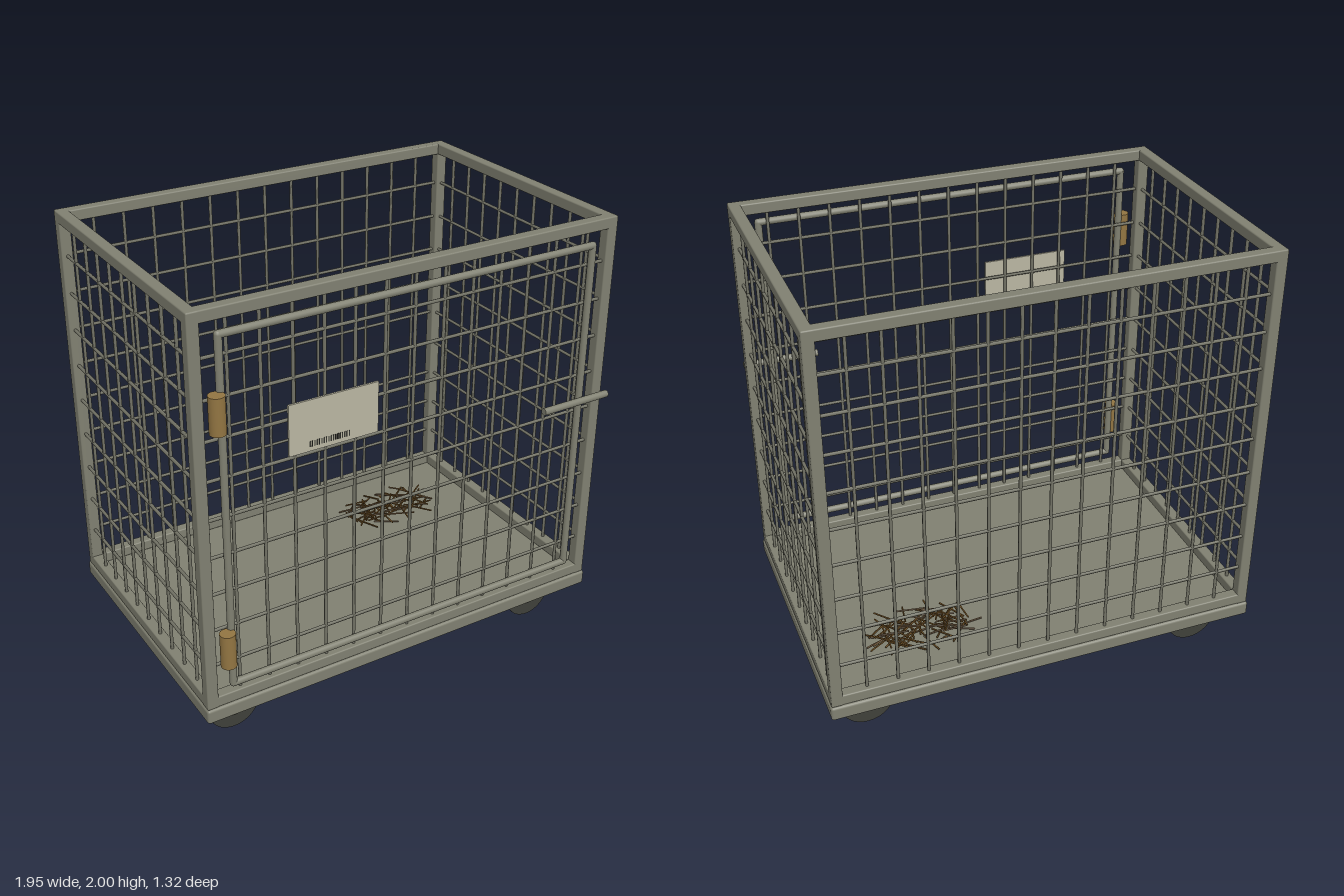
import * as THREE from 'three';
import { RoundedBoxGeometry } from 'three/addons/geometries/RoundedBoxGeometry.js';
import { mergeGeometries } from 'three/addons/utils/BufferGeometryUtils.js';

const material = (name, color) => new THREE.MeshStandardMaterial({ name, color });

export function createModel() {
  const model = new THREE.Group();
  model.name = 'wheeledCage';
  const steel = material('grey green steel', 0x808071);
  const wire = material('wire steel', 0x747467);
  const rubber = material('dark rubber', 0x3f403a);
  const brass = material('brass', 0x927542);
  const card = material('pale card', 0xb9b6a2);
  const ink = material('dark ink', 0x34342e);
  const straw = material('brown straw', 0x6b4d22);

  const add = (name, geometry, mat, parent = model) => {
    const mesh = new THREE.Mesh(geometry, mat);
    mesh.name = name;
    parent.add(mesh);
    return mesh;
  };
  const box = (w, h, d, x, y, z) => new THREE.BoxGeometry(w, h, d).translate(x, y, z);
  const rounded = (w, h, d, x, y, z, r = 0.006) =>
    new RoundedBoxGeometry(w, h, d, 2, r).translate(x, y, z);
  // Round bar between two points
  const bar = (a, b, radius, sides = 8) => {
    const from = new THREE.Vector3(...a), to = new THREE.Vector3(...b);
    const dir = to.clone().sub(from);
    const turn = new THREE.Quaternion().setFromUnitVectors(
      new THREE.Vector3(0, 1, 0), dir.clone().normalize());
    const mid = from.add(to).multiplyScalar(0.5);
    return new THREE.CylinderGeometry(radius, radius, dir.length(), sides)
      .applyQuaternion(turn).translate(mid.x, mid.y, mid.z);
  };

  // Cage layout: centre lines of the frame bars
  const cz = -0.02, hx = 0.943, hz = 0.603, low = 0.297, high = 1.975, t = 0.05;

  // Base tray
  add('base', rounded(1.946, 0.067, 1.272, 0, 0.238, cz, 0.012), steel);

  // Square frame posts and rails
  for (const sx of [-1, 1]) for (const sz of [-1, 1])
    add('cornerPost', rounded(t, 1.73, t, sx * hx, 1.135, cz + sz * hz), steel);
  for (const y of [low, high]) {
    for (const s of [-1, 1]) {
      add('longRail', rounded(2 * hx + t, t, t, 0, y, cz + s * hz), steel);
      add('sideRail', rounded(t, t, 2 * hz + t, s * hx, y, cz), steel);
    }
  }

  // Wire mesh panels
  const panel = (name, half, count, place) => {
    const wires = [];
    for (let i = 1; i < count; i++) {
      const u = -half + (2 * half * i) / count;
      wires.push(bar(place(u, low), place(u, high), 0.0072, 6));
    }
    for (let i = 1; i < 10; i++) {
      const y = low + ((high - low) * i) / 10;
      wires.push(bar(place(-half, y), place(half, y), 0.0072, 6));
    }
    add(name, mergeGeometries(wires), wire);
  };
  for (const s of [-1, 1]) {
    panel(s > 0 ? 'frontMesh' : 'backMesh', hx, 14, (u, y) => [u, y, cz + s * hz]);
    panel(s > 0 ? 'leftMesh' : 'rightMesh', hz, 10, (u, y) => [s * hx, y, cz + u]);
  }

  // Door frame of round tube
  const door = new THREE.Group();
  door.name = 'door';
  model.add(door);
  const dz = 0.605, r = 0.016, dl = -0.849, dr = 0.845, db = 0.366, dt = 1.895;
  for (const x of [dl, dr]) add('doorUpright', bar([x, db, dz], [x, dt, dz], r, 14), steel, door);
  for (const y of [db, dt]) {
    add('doorRail', bar([dl, y, dz], [dr, y, dz], r, 14), steel, door);
    for (const x of [dl, dr])
      add('doorCorner', new THREE.SphereGeometry(r, 12, 8).translate(x, y, dz), steel, door);
  }

  // Hinges and latch
  for (const y of [0.558, 1.598])
    add('hinge', new THREE.CylinderGeometry(0.033, 0.033, 0.155, 20).translate(-0.877, y, 0.63), brass);
  add('latchBar', bar([0.625, 1.21, 0.644], [0.965, 1.21, 0.644], 0.016, 14), steel);

  // Card tag with a strip of small marks
  add('tag', box(0.397, 0.218, 0.009, -0.378, 1.435, 0.605), card);
  const marks = [];
  for (let i = 0; i < 18; i++)
    marks.push(box(i % 3 ? 0.004 : 0.007, 0.024, 0.002, -0.485 + i * 0.0102, 1.357, 0.61));
  add('tagMarks', mergeGeometries(marks), ink);

  // Casters, all facing the same way
  for (const x of [-0.78, 0.78]) for (const z of [0.43, -0.47]) {
    const caster = new THREE.Group();
    caster.name = 'caster';
    caster.position.set(x, 0.12, z);
    model.add(caster);
    const disc = (radius, depth, offset) =>
      new THREE.CylinderGeometry(radius, radius, depth, 32).rotateX(Math.PI / 2).translate(0, 0, offset);
    add('tyre', disc(0.118, 0.052, 0), rubber, caster);
    add('hub', disc(0.055, 0.02, 0.022), steel, caster);
    add('bracket', box(0.05, 0.115, 0.02, 0, 0.037, -0.034), steel, caster);
  }

  // Loose straw scattered on the floor
  let seed = 11;
  const rand = () => (seed = (seed * 16807) % 2147483647) / 2147483647;
  const stalks = [];
  for (let i = 0; i < 75; i++) {
    const angle = rand() * Math.PI * 2, spread = Math.sqrt(rand());
    const x = 0.48 + Math.cos(angle) * spread * 0.22;
    const z = -0.31 + Math.sin(angle) * spread * 0.12;
    const y = 0.28 + rand() * 0.03;
    const heading = rand() * Math.PI, half = 0.035 + rand() * 0.045;
    const dx = Math.cos(heading) * half, dzz = Math.sin(heading) * half, dy = (rand() - 0.5) * 0.015;
    stalks.push(bar([x - dx, y - dy, z - dzz], [x + dx, y + dy, z + dzz], 0.004, 5));
  }
  add('straw', mergeGeometries(stalks), straw);

  return model;
}
